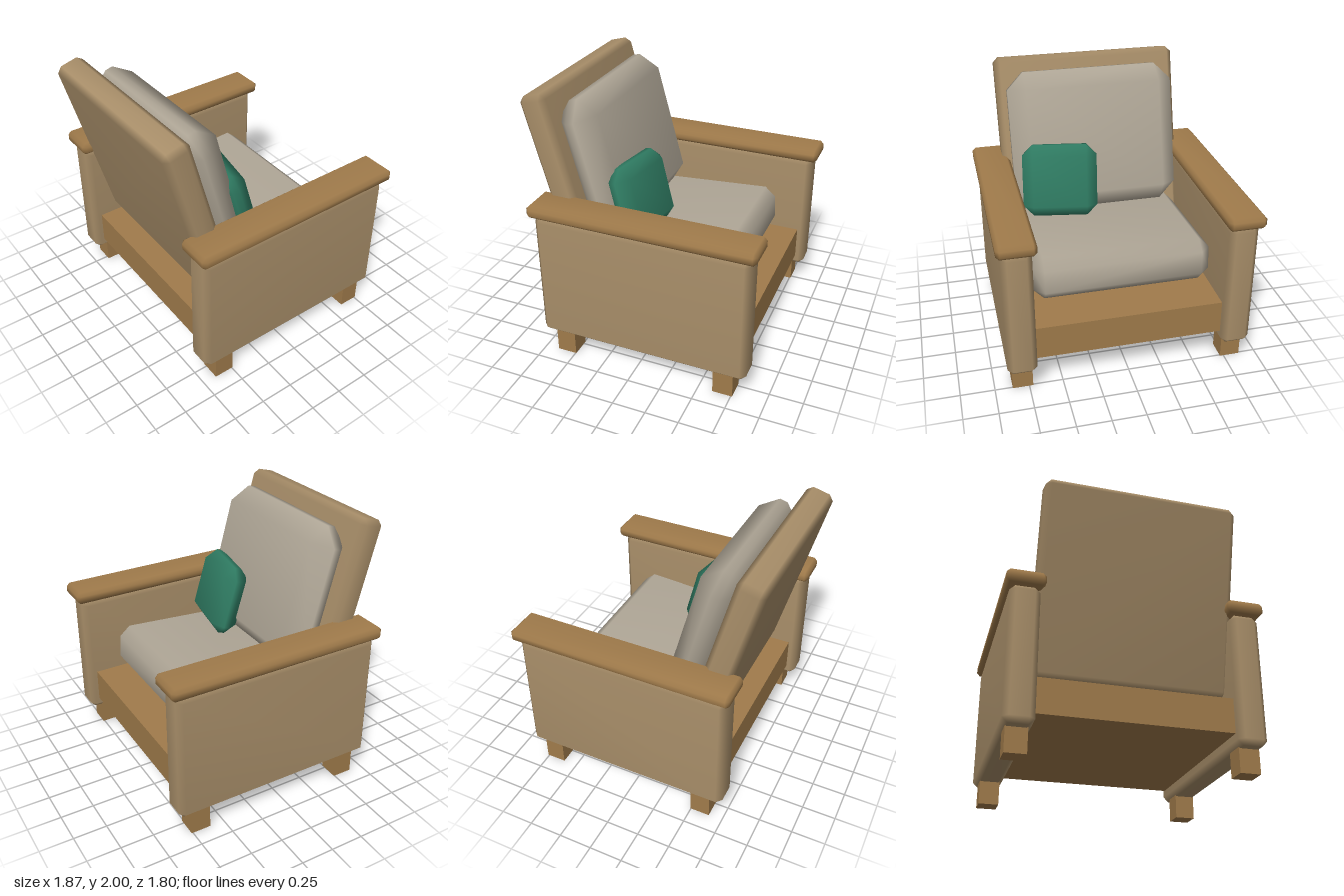
import * as THREE from 'three';
import { ConvexGeometry } from 'three/addons/geometries/ConvexGeometry.js';
import { mergeVertices } from 'three/addons/utils/BufferGeometryUtils.js';

const mat = (color) => new THREE.MeshStandardMaterial({ color });

// Box with every edge chamfered by c and softly blended normals
function chamferBox(w, h, d, c) {
  const pts = [];
  for (const x of [-1, 1]) for (const y of [-1, 1]) for (const z of [-1, 1]) {
    const X = x * w / 2, Y = y * h / 2, Z = z * d / 2;
    pts.push(
      new THREE.Vector3(X, Y - y * c, Z - z * c),
      new THREE.Vector3(X - x * c, Y, Z - z * c),
      new THREE.Vector3(X - x * c, Y - y * c, Z));
  }
  const hull = new ConvexGeometry(pts);
  hull.deleteAttribute('normal');
  const geometry = mergeVertices(hull, 1e-4);
  geometry.computeVertexNormals();
  return geometry;
}

export function createModel() {
  const chair = new THREE.Group();
  chair.name = 'armchair';
  const wood = mat(0xa88e69), darkWood = mat(0xa07b4b);
  const fabric = mat(0xb0a797), green = mat(0x2f7b62);

  const add = (name, geometry, material, x, y, z) => {
    const mesh = new THREE.Mesh(geometry, material);
    mesh.name = name;
    mesh.position.set(x, y, z);
    chair.add(mesh);
    return mesh;
  };
  const tilt = THREE.MathUtils.degToRad(15);

  // Sides: panel, armrest and two legs each
  const panel = chamferBox(0.215, 0.99, 1.6, 0.04);
  const armrest = chamferBox(0.275, 0.095, 1.68, 0.025);
  const leg = new THREE.BoxGeometry(0.15, 0.19, 0.15);
  for (const [side, s] of [['left', 1], ['right', -1]]) {
    add(side + 'Panel', panel, wood, s * 0.798, 0.67, -0.055);
    add(side + 'Armrest', armrest, darkWood, s * 0.798, 1.212, -0.06);
    add(side + 'BackLeg', leg, darkWood, s * 0.797, 0.095, 0.57);
    add(side + 'FrontLeg', leg, darkWood, s * 0.797, 0.095, -0.685);
  }

  // Base between the panels
  add('seatBase', new THREE.BoxGeometry(1.4, 0.255, 1.47), darkWood, 0, 0.392, -0.055);

  // Leaning backrest
  add('backrest', chamferBox(1.43, 1.425, 0.208, 0.04), wood, 0, 1.295, 0.623).rotation.x = tilt;

  // Cushions
  add('seatCushion', chamferBox(1.32, 0.33, 1.12, 0.078), fabric, 0, 0.73, -0.055).rotation.x =
    THREE.MathUtils.degToRad(4);
  add('backCushion', chamferBox(1.3, 1.09, 0.32, 0.13), fabric, 0, 1.4, 0.437).rotation.x = tilt;

  // Small pillow, turned and leaning on the back cushion
  add('pillow', chamferBox(0.57, 0.55, 0.21, 0.08), green, 0.32, 1.18, 0.17)
    .rotation.set(tilt, THREE.MathUtils.degToRad(-10), 0, 'YXZ');

  return chair;
}
